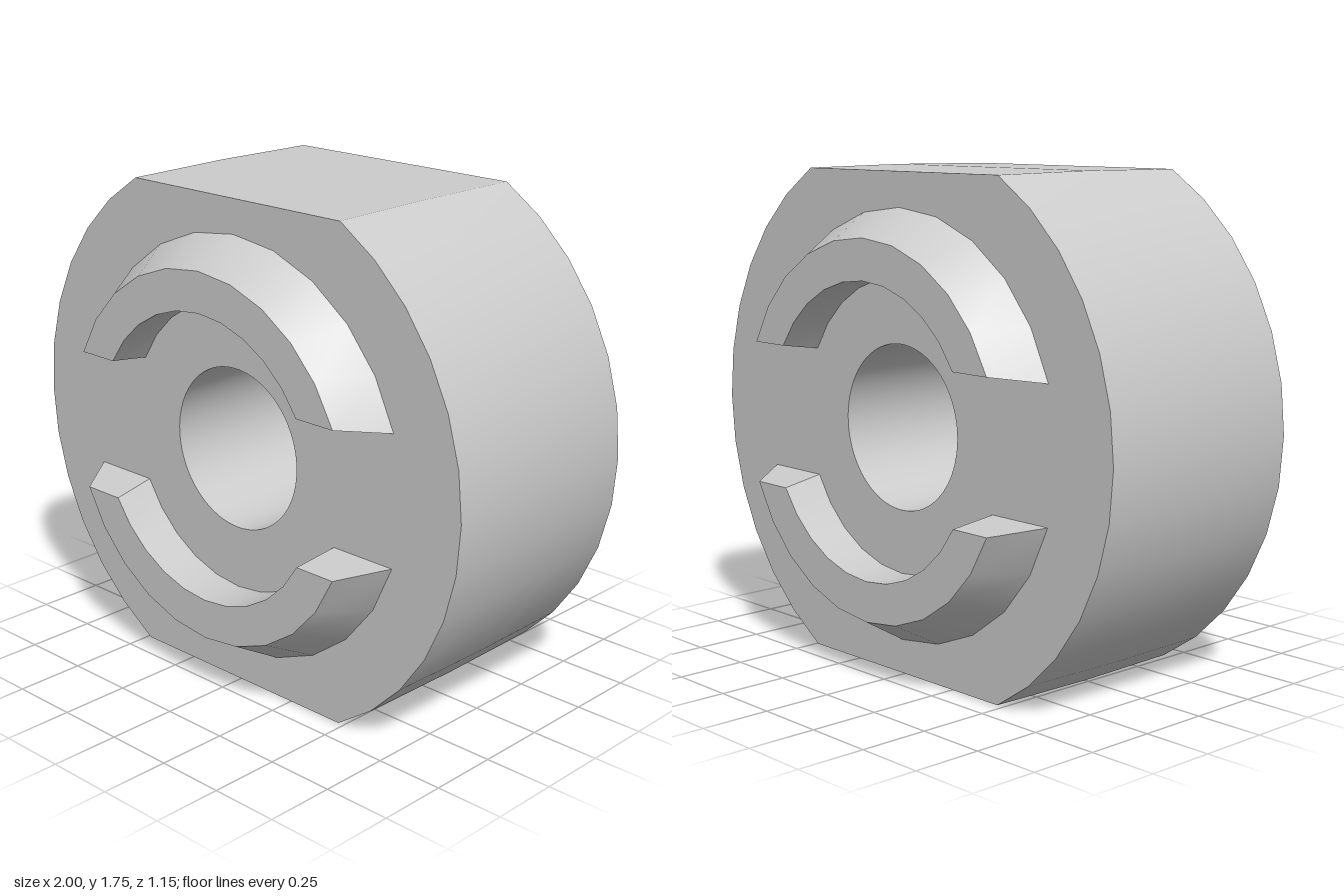
import * as THREE from 'three';
import { toCreasedNormals } from 'three/addons/utils/BufferGeometryUtils.js';

const CENTRE = 0.875, HALF = 0.414, TIP = 0.576;
const material = new THREE.MeshStandardMaterial({ color: 0xcccccc });

// Round body with flat top and bottom, a bore, and a very slight barrel
function bodyGeometry() {
  const corner = Math.asin(CENTRE), n = 12, points = [];
  for (const turn of [0, Math.PI]) {
    for (let i = 0; i <= n; i++) {
      const a = turn - corner + (2 * corner * i) / n;
      points.push(new THREE.Vector2(Math.cos(a), Math.sin(a)));
    }
  }
  const shape = new THREE.Shape(points);
  shape.holes.push(new THREE.Path().absarc(0, 0, 0.288, 0, Math.PI * 2, true));
  const geometry = new THREE.ExtrudeGeometry(shape, {
    depth: 2 * HALF, steps: 2, bevelEnabled: false, curveSegments: 48,
  });
  geometry.translate(0, 0, -HALF);
  const p = geometry.attributes.position;
  for (let i = 0; i < p.count; i++) {
    const x = p.getX(i), y = p.getY(i);
    if (Math.hypot(x, y) > 0.5 && Math.abs(p.getZ(i)) > 0.1) {
      p.setXY(i, x * 0.995, y * 0.995);
    }
  }
  return toCreasedNormals(geometry, 0.4);
}

// Curved ridge: a section with a sloped outer side, swept between level ends
function ridgeGeometry() {
  // radius, height of the end above the axis, z
  const section = [
    [0.513, 0.23, HALF], [0.513, 0.255, TIP],
    [0.656, 0.255, TIP], [0.75, 0.23, HALF],
  ];
  const n = 10, positions = [];
  const at = (k, i) => {
    const [r, y, z] = section[k];
    const start = Math.asin(y / r);
    const a = start + ((Math.PI - 2 * start) * i) / n;
    return [r * Math.cos(a), r * Math.sin(a), z];
  };
  const quad = (a, b, c, d) => positions.push(...a, ...b, ...c, ...a, ...c, ...d);
  for (let i = 0; i < n; i++) {
    for (let k = 0; k < 3; k++) {
      quad(at(k, i), at(k + 1, i), at(k + 1, i + 1), at(k, i + 1));
    }
  }
  quad(at(0, 0), at(3, 0), at(2, 0), at(1, 0));
  quad(at(0, n), at(1, n), at(2, n), at(3, n));
  const geometry = new THREE.BufferGeometry();
  geometry.setAttribute('position', new THREE.Float32BufferAttribute(positions, 3));
  return toCreasedNormals(geometry, 0.45);
}

export function createModel() {
  const model = new THREE.Group();
  model.name = 'flattedBushing';

  const body = new THREE.Mesh(bodyGeometry(), material);
  body.name = 'body';
  body.position.y = CENTRE;
  model.add(body);

  // Two ridges on each face
  const ridge = ridgeGeometry();
  for (const face of ['front', 'back']) {
    for (const place of ['Upper', 'Lower']) {
      const mesh = new THREE.Mesh(ridge, material);
      mesh.name = `${face}${place}Ridge`;
      mesh.position.y = CENTRE;
      mesh.rotation.set(0, face === 'back' ? Math.PI : 0, place === 'Lower' ? Math.PI : 0);
      model.add(mesh);
    }
  }
  return model;
}
